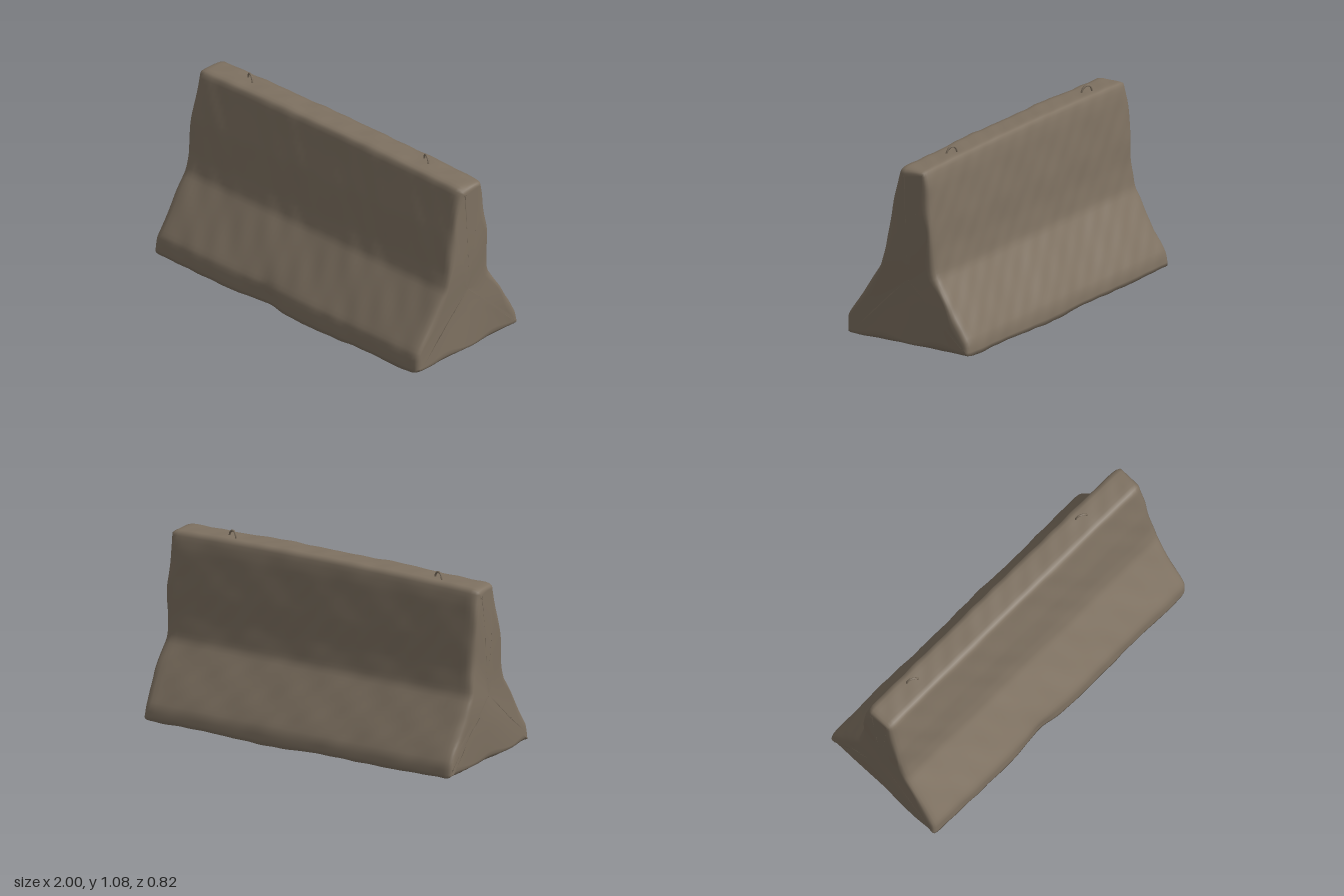
import * as THREE from 'three';

// Side profile of the barrier as [z, y], from the front foot over the top to the back foot
const PROFILE = [
  [0.41, 0.02], [0.402, 0.13], [0.18, 0.455], [0.155, 0.55], [0.12, 0.76], [0.055, 1.035],
  [-0.115, 1.035], [-0.135, 0.95], [-0.16, 0.72], [-0.168, 0.58], [-0.187, 0.44],
  [-0.35, 0.18], [-0.396, 0.1], [-0.408, 0.02],
];
const RING = 120;
const HUB = new THREE.Vector2(0, 0.4);

// Evenly spaced closed outline with slightly softened corners
function outline() {
  const path = new THREE.Path(PROFILE.map(([z, y]) => new THREE.Vector2(z, y)));
  path.closePath();
  const p = path.getSpacedPoints(RING).slice(0, RING);
  return p.map((v, i) => {
    const a = p[(i + RING - 1) % RING], b = p[(i + 1) % RING];
    return v.clone().multiplyScalar(0.7).addScaledVector(a, 0.15).addScaledVector(b, 0.15);
  });
}

const bump = (v, centre, width) => Math.exp(-(((v - centre) / width) ** 2));

// Gentle irregularity of weathered concrete
function waviness(x, y, z) {
  return 0.003 * Math.sin(9 * x + 5 * y + 3) * Math.cos(8 * z - 4 * y)
    + 0.002 * Math.sin(23 * x - 14 * z + 1) * Math.cos(17 * y + 7 * x)
    + 0.001 * Math.sin(41 * x + 31 * y + 37 * z);
}

function bodyGeometry() {
  const ring = outline();
  const normals = ring.map((v, i) => {
    const d = ring[(i + 1) % RING].clone().sub(ring[(i + RING - 1) % RING]).normalize();
    return new THREE.Vector2(d.y, -d.x);
  });

  // Stations along x: [x, inset of the outline, scale towards the hub]
  const edge = [[0.994, 0, 0.02], [0.995, 0, 0.3], [0.995, 0, 0.6], [0.995, 0.055, 1], [0.994, 0.033, 1],
    [0.987, 0.017, 1], [0.974, 0.006, 1], [0.95, 0, 1]];
  edge[0][1] = edge[1][1] = edge[2][1] = 0.055;
  const stations = edge.map(([x, i, s]) => [-x, i, s]);
  for (let k = 1; k < 60; k++) stations.push([-0.95 + (1.9 * k) / 60, 0, 1]);
  stations.push(...edge.slice().reverse());

  const pos = [], index = [];
  for (const [x, inset, scale] of stations) {
    ring.forEach((v, i) => {
      const chip = 1 + 0.35 * Math.sin(i * 0.45 + x * 2);
      const p = v.clone().addScaledVector(normals[i], -inset * chip * 0.75);
      p.sub(HUB).multiplyScalar(scale).add(HUB);
      const n = waviness(x, p.y, p.x);
      p.addScaledVector(normals[i], n * scale);
      // Crown along the top, sag below, chipped front foot
      if (p.y > 0.9) p.y += 0.014 * (1 - x * x) * Math.min(1, (p.y - 0.9) / 0.1);
      if (p.y < 0.12) p.y -= 0.013 * bump(x, 0.25, 0.35) * (1 - p.y / 0.12);
      if (p.x > 0.3) p.x -= 0.018 * bump(x, -0.16, 0.12) * bump(p.y, 0.05, 0.1);
      const endWave = Math.abs(x) > 0.9 ? 0.005 * Math.sin(11 * p.y + 7 * p.x + x) : 0;
      pos.push(x + endWave * Math.sign(x), p.y, p.x);
    });
  }
  for (let s = 0; s < stations.length - 1; s++) {
    for (let i = 0; i < RING; i++) {
      const j = (i + 1) % RING, a = s * RING, b = a + RING;
      index.push(a + i, b + i, b + j, a + i, b + j, a + j);
    }
  }
  // Close the small centre of each end
  const last = (stations.length - 1) * RING;
  for (let i = 1; i < RING - 1; i++) {
    index.push(0, i, i + 1);
    index.push(last, last + i + 1, last + i);
  }
  const geo = new THREE.BufferGeometry();
  geo.setAttribute('position', new THREE.Float32BufferAttribute(pos, 3));
  geo.setIndex(index);
  geo.computeVertexNormals();
  geo.computeBoundingBox();
  geo.translate(0, -geo.boundingBox.min.y, 0);
  return geo;
}

// Bent bar loop sunk into the top
function hookGeometry() {
  const pts = [[-0.034, -0.03], [-0.031, 0.015], [-0.018, 0.034], [0.004, 0.037], [0.022, 0.027], [0.032, 0.008], [0.034, -0.03]];
  const curve = new THREE.CatmullRomCurve3(pts.map(([x, y]) => new THREE.Vector3(x, y, 0)));
  return new THREE.TubeGeometry(curve, 14, 0.006, 6);
}

export function createModel() {
  const concrete = new THREE.MeshStandardMaterial({ color: 0x7e7161 });
  concrete.name = 'concrete';
  const model = new THREE.Group();
  model.name = 'roadBarrier';

  const body = new THREE.Mesh(bodyGeometry(), concrete);
  body.name = 'barrierBody';
  model.add(body);

  const hook = hookGeometry();
  for (const [name, x, y] of [['rightLiftingLoop', -0.7, 1.033], ['leftLiftingLoop', 0.63, 1.036]]) {
    const loop = new THREE.Mesh(hook, concrete);
    loop.name = name;
    loop.position.set(x, y, -0.052);
    loop.rotation.y = -0.45;
    model.add(loop);
  }
  return model;
}
